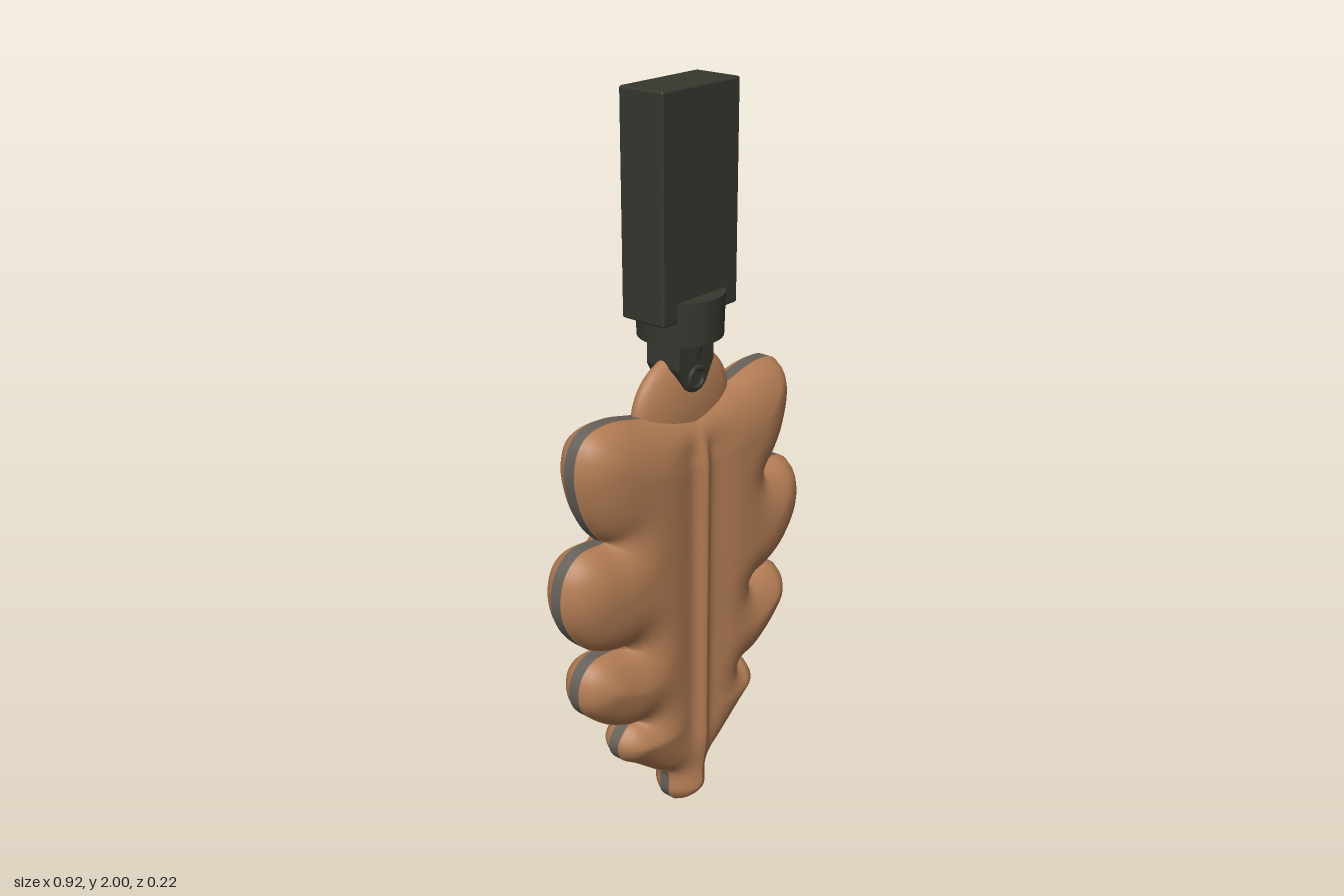
import * as THREE from 'three';
import { mergeVertices } from 'three/addons/utils/BufferGeometryUtils.js';
import { RoundedBoxGeometry } from 'three/addons/geometries/RoundedBoxGeometry.js';

const mat = (name, color, side = THREE.FrontSide) => {
  const m = new THREE.MeshStandardMaterial({ color, side });
  m.name = name;
  return m;
};

// Right half of the lobed outline, one run per lobe so the notches stay sharp
const LOBES = [
  [[0, 0], [0.04, 0.01], [0.068, 0.05], [0.07, 0.115], [0.12, 0.155], [0.2, 0.22], [0.255, 0.262], [0.27, 0.31], [0.24, 0.352], [0.205, 0.363]],
  [[0.205, 0.363], [0.25, 0.37], [0.32, 0.41], [0.39, 0.475], [0.41, 0.53], [0.395, 0.585], [0.345, 0.618], [0.25, 0.612]],
  [[0.25, 0.612], [0.31, 0.625], [0.38, 0.665], [0.44, 0.74], [0.46, 0.82], [0.44, 0.895], [0.385, 0.935], [0.305, 0.932]],
  [[0.305, 0.932], [0.345, 0.975], [0.38, 1.04], [0.4, 1.13], [0.385, 1.2], [0.34, 1.237], [0.26, 1.24], [0.15, 1.215], [0, 1.19]],
];

// Closed loop of outline points, each tied to a point on the midrib
function leafOutline() {
  const right = [];
  LOBES.forEach((pts) => {
    const curve = new THREE.SplineCurve(pts.map(([x, y]) => new THREE.Vector2(x, y)));
    const run = curve.getPoints(44);
    right.push(...(right.length ? run.slice(1) : run));
  });
  let spine = 0.05;
  const half = right.map((p) => {
    spine = Math.max(spine, Math.min(1.14, p.y - 0.5 * p.x));
    return { x: p.x, y: p.y, spine };
  });
  const left = half.slice(1, -1).reverse().map((p) => ({ ...p, x: -p.x }));
  return [...half, ...left];
}

function edgeDistance(x, y, loop) {
  let best = Infinity;
  for (let i = 0; i < loop.length; i++) {
    const a = loop[i], b = loop[(i + 1) % loop.length];
    const dx = b.x - a.x, dy = b.y - a.y;
    const k = THREE.MathUtils.clamp(((x - a.x) * dx + (y - a.y) * dy) / (dx * dx + dy * dy + 1e-12), 0, 1);
    best = Math.min(best, Math.hypot(x - a.x - k * dx, y - a.y - k * dy));
  }
  return best;
}

const RIM = 0.016;

// Puffy thickness: rounded towards the edge, valley and rib along the middle
function thickness(x, y, loop) {
  const u = Math.min(edgeDistance(x, y, loop) / 0.15, 1);
  const round = 0.096 * Math.sqrt(1 - (1 - u) ** 2);
  const fade = THREE.MathUtils.smoothstep(y, 0.1, 0.3) * (1 - THREE.MathUtils.smoothstep(y, 1.08, 1.17));
  const valley = 0.26 * Math.exp(-((x / 0.09) ** 2));
  const rib = 0.24 * Math.exp(-((x / 0.024) ** 2));
  return Math.max(RIM, round * (1 - fade * (valley - rib)));
}

function surface(positions, index) {
  let g = new THREE.BufferGeometry();
  g.setAttribute('position', new THREE.Float32BufferAttribute(positions, 3));
  g.setIndex(index);
  g = mergeVertices(g, 1e-5);
  g.computeVertexNormals();
  return g;
}

function leafFace(loop, sign) {
  const rings = 28, n = loop.length, pos = [], idx = [];
  for (let j = 0; j <= rings; j++) {
    const t = (1 - Math.cos((Math.PI * j) / rings)) / 2;
    for (const p of loop) {
      const x = p.x * t, y = p.spine + (p.y - p.spine) * t;
      pos.push(x, y, sign * (j === rings ? RIM : thickness(x, y, loop)));
    }
  }
  for (let j = 0; j < rings; j++) {
    for (let i = 0; i < n; i++) {
      const k = (i + 1) % n;
      const a = j * n + i, b = j * n + k, c = a + n, d = b + n;
      if (sign > 0) idx.push(a, c, d, a, d, b);
      else idx.push(a, d, c, a, b, d);
    }
  }
  return surface(pos, idx);
}

function leafRim(loop) {
  const n = loop.length, pos = [], idx = [];
  for (const z of [RIM, -RIM]) for (const p of loop) pos.push(p.x, p.y, z);
  for (let i = 0; i < n; i++) {
    const k = (i + 1) % n;
    idx.push(i, i + n, k + n, i, k + n, k);
  }
  return surface(pos, idx);
}

export function createModel() {
  const model = new THREE.Group();
  model.name = 'leafPendant';
  const brown = mat('leafBrown', 0xb27c54);
  const grey = mat('rimGrey', 0x66605a, THREE.DoubleSide);
  const dark = mat('darkMetal', 0x36372e);
  const add = (name, geometry, material, x = 0, y = 0, z = 0) => {
    const m = new THREE.Mesh(geometry, material);
    m.name = name;
    m.position.set(x, y, z);
    model.add(m);
    return m;
  };

  // Leaf
  const loop = leafOutline();
  add('leafFront', leafFace(loop, 1), brown);
  add('leafBack', leafFace(loop, -1), brown);
  add('leafRim', leafRim(loop), grey);
  const boss = add('topBoss', new THREE.SphereGeometry(1, 40, 28), brown, 0, 1.2, 0);
  boss.scale.set(0.176, 0.148, 0.052);

  // Clasp holding the leaf
  const shield = new THREE.Shape();
  shield.moveTo(-0.062, 1.4);
  shield.lineTo(-0.065, 1.32);
  shield.lineTo(-0.035, 1.265);
  shield.quadraticCurveTo(0, 1.235, 0.035, 1.265);
  shield.lineTo(0.065, 1.32);
  shield.lineTo(0.062, 1.4);
  const clasp = new THREE.ExtrudeGeometry(shield, {
    depth: 0.09, bevelEnabled: true, bevelSize: 0.004, bevelThickness: 0.008, bevelSegments: 2, curveSegments: 10,
  });
  add('clasp', clasp, dark, 0, 0, -0.045);
  for (const s of [1, -1]) add('claspEyelet', new THREE.TorusGeometry(0.026, 0.008, 8, 24), dark, 0, 1.285, s * 0.052);

  // Collar and grip block
  add('neck', new THREE.CylinderGeometry(0.062, 0.055, 0.07, 32), dark, 0, 1.365, 0);
  add('collar', new THREE.CylinderGeometry(0.111, 0.108, 0.11, 48), dark, 0, 1.445, 0);
  add('gripBlock', new RoundedBoxGeometry(0.274, 0.55, 0.134, 2, 0.006), dark, 0, 1.725, 0);
  return model;
}
